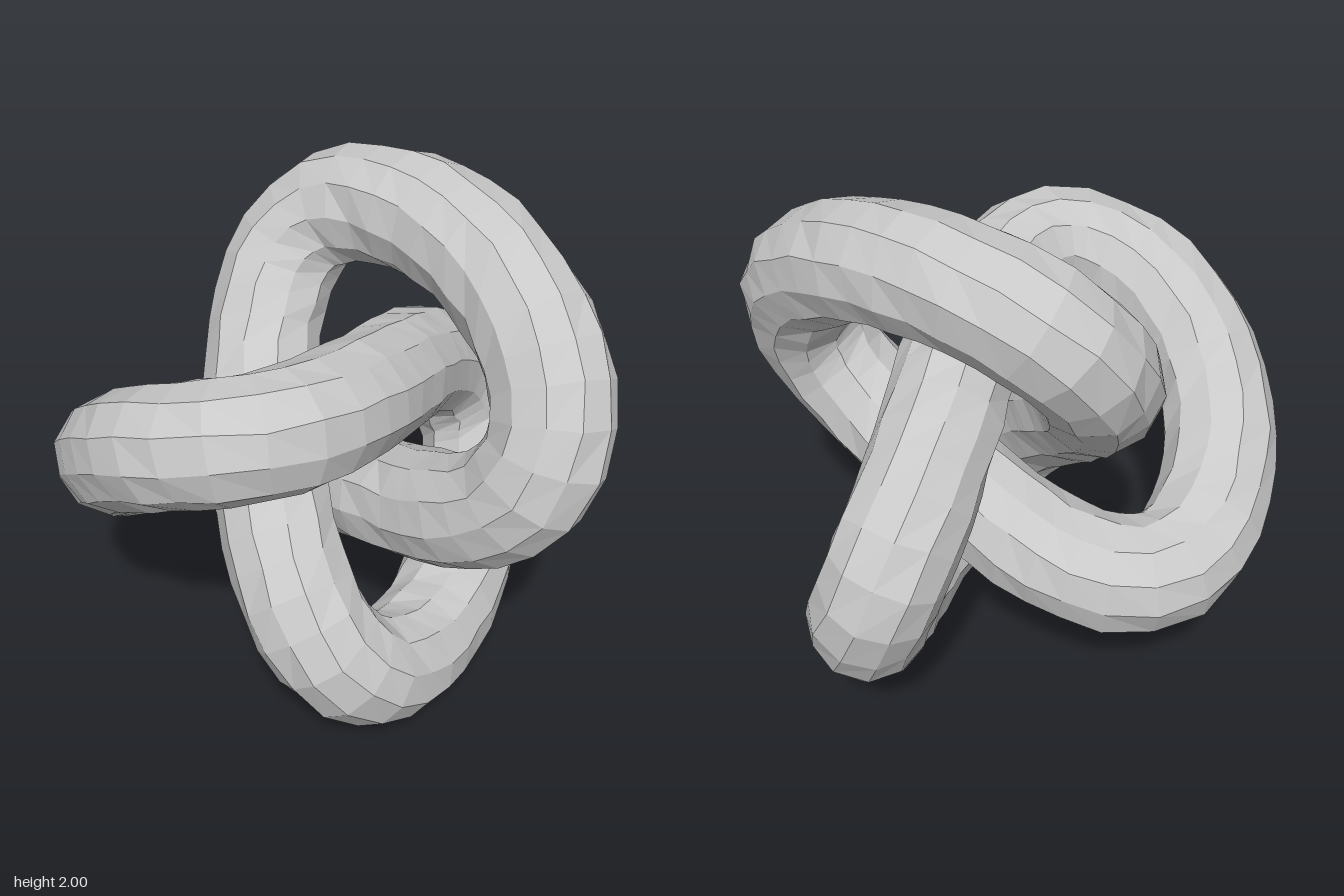
import * as THREE from 'three';
import { mergeVertices } from 'three/addons/utils/BufferGeometryUtils.js';

const DEPTH = 0.53;    // how far the strands weave forward and back
const RADIUS = 0.216;  // thickness of the strand
const CENTRE_X = 0.11;

// Three-lobed knot path: a double loop with harmonics that round the lobes
class KnotCurve extends THREE.Curve {
  getPoint(u, target = new THREE.Vector3()) {
    const t = u * Math.PI * 2;
    // The two lobes on the +x side reach slightly further out
    const reach = 0.007 * (1 + Math.cos(3 * t)) * (1 - Math.cos(t));
    // The lobe on the -x side is rounder in depth than the others
    const round = 0.045 + 0.055 * Math.cos(t);
    return target.set(
      CENTRE_X + reach - 0.58 * Math.cos(2 * t) - 0.245 * Math.cos(t) - 0.03 * Math.cos(5 * t),
      1 + 0.58 * Math.sin(2 * t) - 0.245 * Math.sin(t) + 0.03 * Math.sin(5 * t),
      DEPTH * (Math.sin(3 * t) - round * Math.sin(6 * t))
    );
  }
}

// Small seeded generator for the rough, hand-hewn surface
function seeded(seed) {
  return () => {
    seed = (seed * 16807) % 2147483647;
    return seed / 2147483647 - 0.5;
  };
}

export function createModel() {
  const group = new THREE.Group();
  group.name = 'knot';

  const grey = new THREE.MeshStandardMaterial({ color: 0xc8c8c8, flatShading: true });
  grey.name = 'stone grey';

  // Closed faceted strand, welded so the jitter opens no seams
  const tube = new THREE.TubeGeometry(new KnotCurve(), 90, RADIUS, 11, true);
  tube.deleteAttribute('uv');
  tube.deleteAttribute('normal');
  const geometry = mergeVertices(tube, 1e-4);

  const random = seeded(4711);
  const position = geometry.attributes.position;
  for (let i = 0; i < position.count; i++) {
    position.setXYZ(
      i,
      position.getX(i) + random() * 0.014,
      position.getY(i) + random() * 0.014,
      position.getZ(i) + random() * 0.014
    );
  }
  geometry.computeVertexNormals();

  const strand = new THREE.Mesh(geometry, grey);
  strand.name = 'knotStrand';
  group.add(strand);
  return group;
}
